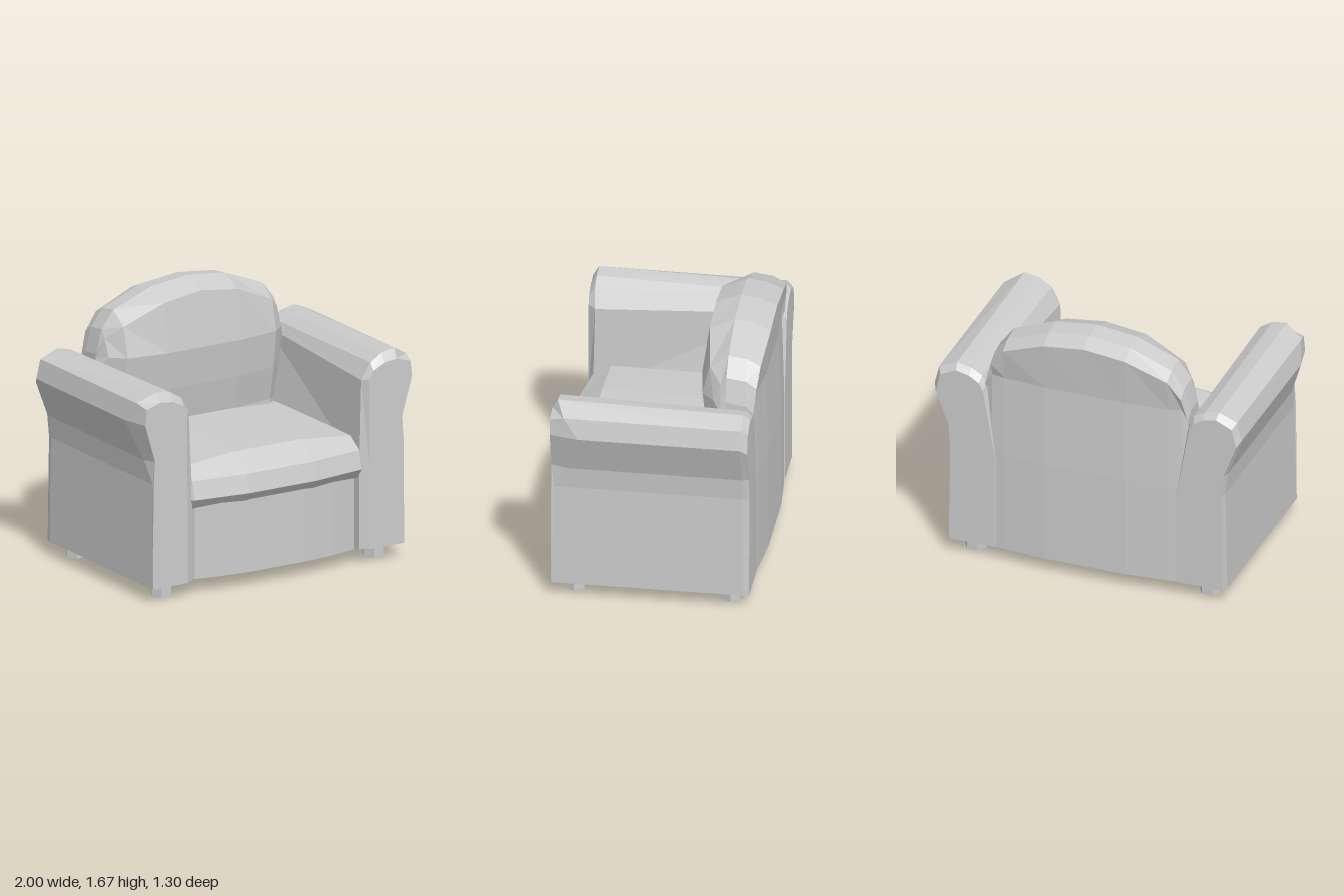
import * as THREE from 'three';

const material = new THREE.MeshStandardMaterial({ color: 0xcccccc, flatShading: true, side: THREE.DoubleSide });

// Closed solid through matching rings of [x, y, z] points, capped at both ends.
function loft(name, rings) {
  const n = rings[0].length, pos = rings.flat(2), idx = [];
  for (let r = 0; r < rings.length - 1; r++) {
    for (let i = 0; i < n; i++) {
      const a = r * n + i, b = r * n + (i + 1) % n;
      idx.push(a, b, a + n, b, b + n, a + n);
    }
  }
  [0, rings.length - 1].forEach((r, end) => {
    const c = pos.length / 3;
    for (let k = 0; k < 3; k++) pos.push(rings[r].reduce((s, p) => s + p[k] / n, 0));
    for (let i = 0; i < n; i++) {
      const a = r * n + i, b = r * n + (i + 1) % n;
      idx.push(c, ...(end ? [a, b] : [b, a]));
    }
  });
  // Turn the faces outward if the enclosed volume is negative.
  const v = i => new THREE.Vector3().fromArray(pos, i * 3);
  let volume = 0;
  for (let i = 0; i < idx.length; i += 3) volume += v(idx[i]).dot(v(idx[i + 1]).cross(v(idx[i + 2])));
  if (volume < 0) idx.reverse();
  const geo = new THREE.BufferGeometry();
  geo.setAttribute('position', new THREE.Float32BufferAttribute(pos, 3));
  geo.setIndex(idx);
  geo.computeVertexNormals();
  const mesh = new THREE.Mesh(geo, material);
  mesh.name = name;
  return mesh;
}

// Loft across the width: half stations are mirrored to the other side.
function loftAcross(name, stations, section) {
  const all = [...stations.slice().reverse().map(([x, ...p]) => [-x, ...p]), ...stations];
  return loft(name, all.map(([x, ...p]) => section(...p).map(([z, y]) => [x, y, z])));
}

// Rolled arm: chamfered front, full body, narrower chamfered back.
function arm(name, s) {
  const front = [[0.655, 0.09], [0.905, 0.09], [0.9, 0.75], [0.89, 0.9], [0.96, 1.14],
    [0.95, 1.24], [0.85, 1.27], [0.76, 1.26], [0.68, 1.22], [0.655, 1.17], [0.655, 0.6]]
    .map(([x, y]) => [s * x, y, 0.605]);
  const shoulder = [[0.6, 0.09, 0.57], [0.906, 0.09, 0.6], [0.895, 0.75, 0.59], [0.91, 0.89, 0.51], [1, 1.14, 0.43],
    [0.97, 1.265, 0.52], [0.855, 1.33, 0.57], [0.76, 1.315, 0.57], [0.68, 1.265, 0.57], [0.62, 1.16, 0.56], [0.6, 0.6, 0.57]]
    .map(([x, y, z]) => [s * x, y, z]);
  const rear = [[0.57, 0.09], [0.906, 0.09], [0.895, 0.75], [0.91, 0.89], [1, 1.14],
    [0.97, 1.26], [0.855, 1.31], [0.76, 1.29], [0.69, 1.25], [0.66, 1.2], [0.57, 0.7]]
    .map(([x, y]) => [s * x, y, -0.57]);
  const end = rear.map(([x, y]) => [s * 0.78 + (x - s * 0.78) * 0.9, y > 1 ? y - 0.035 : y, -0.61]);
  return loft(name, [front, shoulder, rear, end]);
}

export function createModel() {
  const chair = new THREE.Group();
  chair.name = 'armchair';

  // Bowed base under the seat: [x, front z]
  chair.add(loftAcross('base', [[0.2, 0.61], [0.4, 0.59], [0.575, 0.555], [0.64, 0.45]],
    f => [[-0.58, 0.09], [f, 0.09], [f, 0.56], [-0.58, 0.56]]));

  // Seat cushion with a rounded overhanging lip: [x, set-back, crown drop]
  chair.add(loftAcross('seatCushion', [[0.24, 0, 0], [0.6, 0.05, 0.035], [0.65, 0.1, 0.05]],
    (d, h) => [[-0.5, 0.54], [0.6 - d, 0.54], [0.65 - d, 0.605], [0.62 - d, 0.72],
      [0.46, 0.82 - h], [-0.5, 0.82 - h]]));

  // Arched backrest: [x, top y, front edge y, front set-back, rear set-in]
  chair.add(loftAcross('backrest',
    [[0, 1.675, 1.615, 0, 0], [0.265, 1.645, 1.58, 0, 0], [0.535, 1.54, 1.46, 0.04, 0.022],
      [0.62, 1.43, 1.38, 0.12, 0.035], [0.66, 1.28, 1.25, 0.17, 0.05]],
    (t, e, f, r) => [[-0.3 - f, 0.4], [-0.3 - f, 0.82], [-0.26 - f, 1.03], [-0.23 - f, Math.min(1.27, e - 0.05)],
      [-0.275 - f, e], [-0.43, t], [-0.55, t - 0.015], [-0.65 + r, t - 0.06],
      [-0.62 + r, Math.min(1.28, t - 0.1)], [-0.635 + r, 0.75], [-0.635 + r, 0.09], [-0.5, 0.09]]));

  // Arms and hexagonal feet on both sides
  for (const [side, s] of [['left', 1], ['right', -1]]) {
    chair.add(arm(side + 'Arm', s));
    for (const [end, z] of [['Front', 0.475], ['Back', -0.485]]) {
      const foot = new THREE.Mesh(new THREE.CylinderGeometry(0.068, 0.068, 0.1, 6), material);
      foot.name = side + end + 'Foot';
      foot.rotation.y = Math.PI / 6;
      foot.position.set(s * 0.765, 0.05, z);
      chair.add(foot);
    }
  }
  return chair;
}
